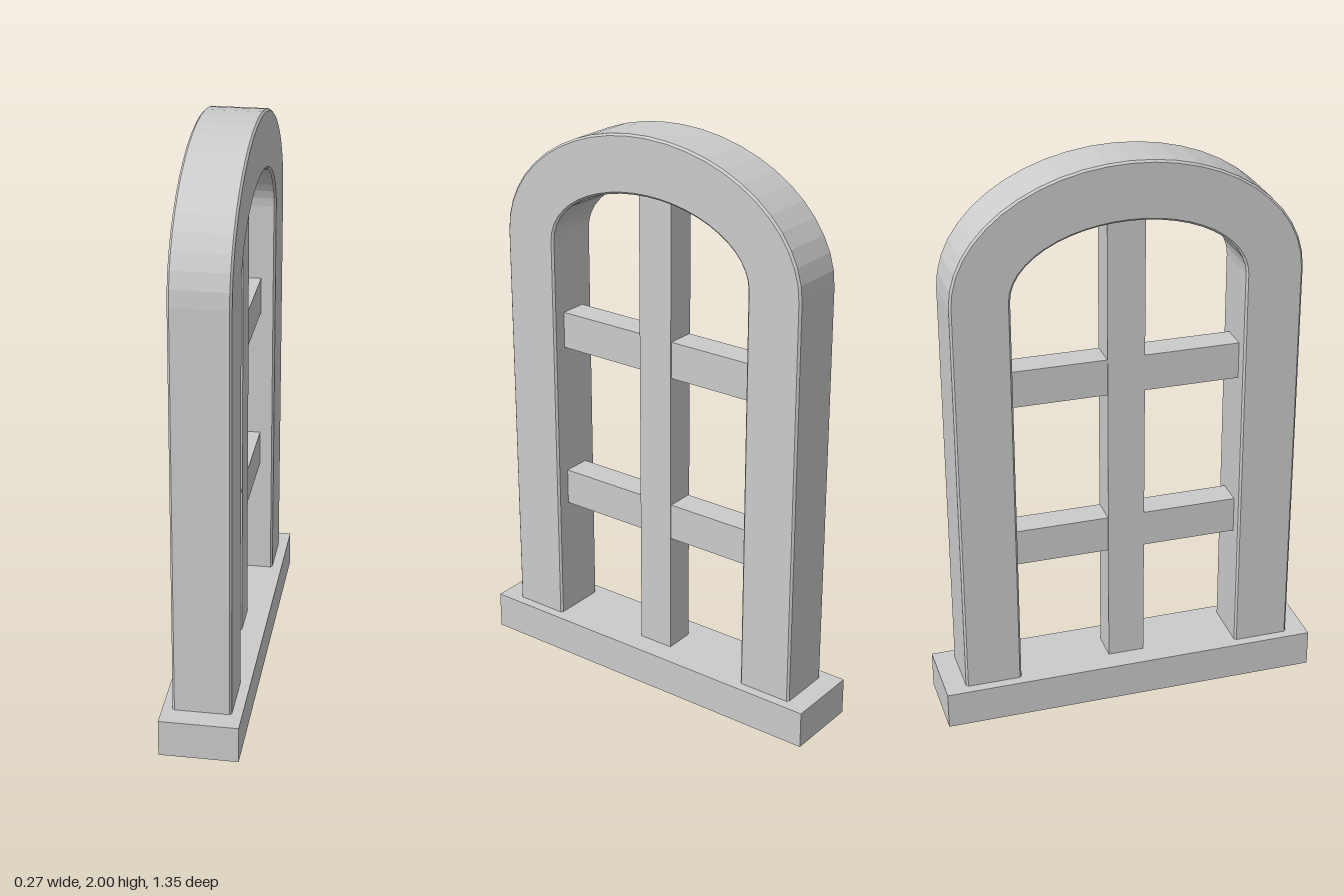
import * as THREE from 'three';

const material = new THREE.MeshStandardMaterial({ color: 0xcccccc });

function addBox(parent, name, size, position) {
  const mesh = new THREE.Mesh(new THREE.BoxGeometry(...size), material);
  mesh.name = name;
  mesh.position.set(...position);
  parent.add(mesh);
}

// Upright legs joined by a flattened arch, as one bevelled extrusion
function archFrameGeometry() {
  const base = 0.12, spring = 1.57, bevel = 0.007, depth = 0.2;
  const shape = new THREE.Shape();
  shape.moveTo(0.6, base);
  shape.lineTo(0.6, spring);
  shape.absellipse(0, spring, 0.6, 0.43, 0, Math.PI, false);
  shape.lineTo(-0.6, base);
  shape.lineTo(-0.4, base);
  shape.lineTo(-0.4, spring);
  shape.absellipse(0, spring, 0.4, 0.23, Math.PI, 0, true);
  shape.lineTo(0.4, base);
  shape.closePath();
  const geometry = new THREE.ExtrudeGeometry(shape, {
    depth: depth - 2 * bevel, curveSegments: 12,
    bevelThickness: bevel, bevelSize: bevel, bevelOffset: -bevel, bevelSegments: 1,
  });
  geometry.translate(0, 0, bevel - depth / 2);
  geometry.rotateY(Math.PI / 2);
  return geometry;
}

export function createModel() {
  const model = new THREE.Group();
  model.name = 'archedWindow';

  addBox(model, 'sill', [0.27, 0.132, 1.35], [0, 0.066, 0]);

  const frame = new THREE.Mesh(archFrameGeometry(), material);
  frame.name = 'archFrame';
  model.add(frame);

  // Glazing bars: one upright, two crossbars split by it
  addBox(model, 'uprightBar', [0.108, 1.68, 0.13], [0, 0.965, 0]);
  for (const y of [0.632, 1.236]) {
    for (const side of [-1, 1]) {
      addBox(model, 'crossbar', [0.1, 0.13, 0.35], [0, y, side * 0.235]);
    }
  }
  return model;
}
